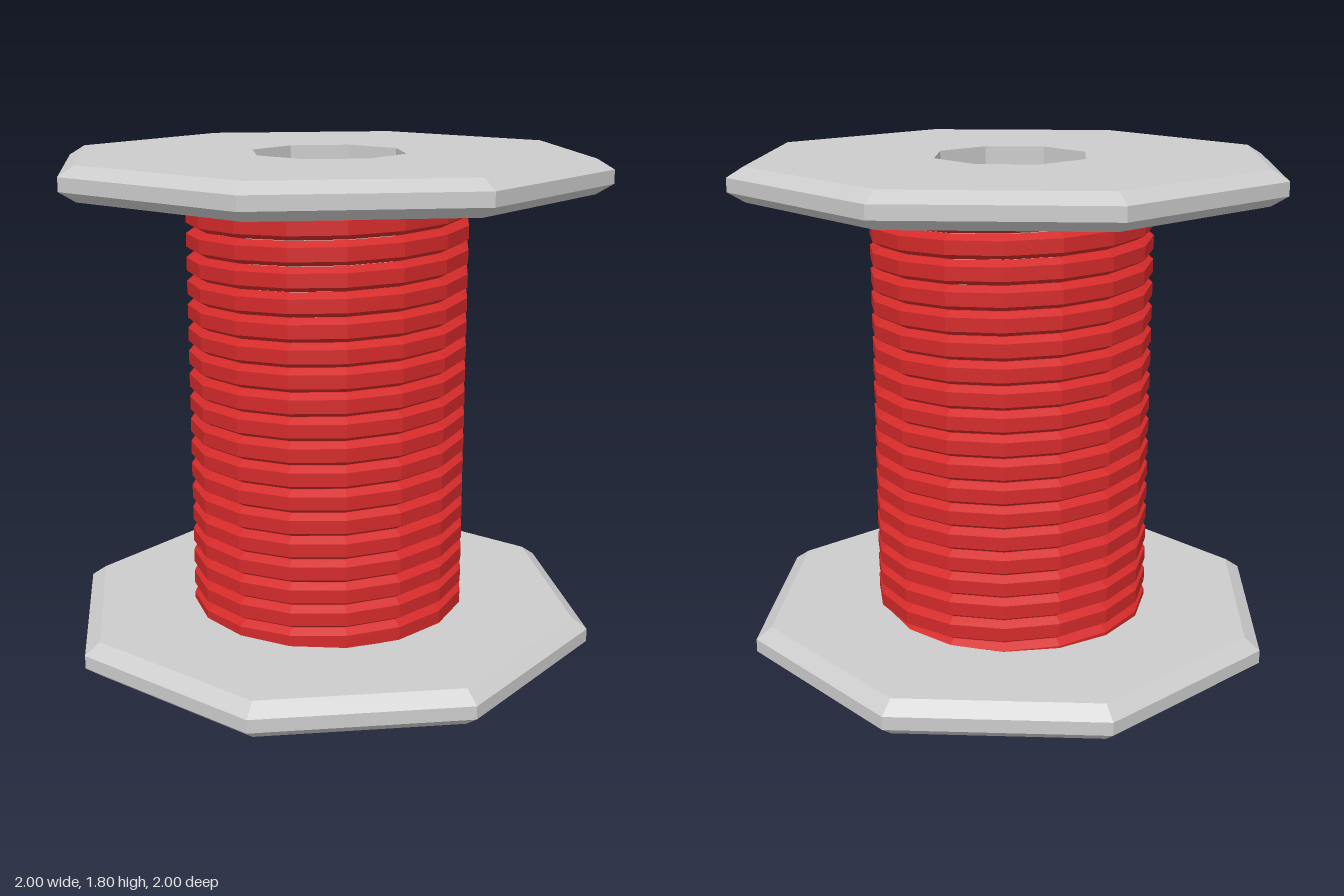
import * as THREE from 'three';

const SIDES = 16;      // facets per turn of wire
const PITCH = 0.0857;  // rise per turn

// Sweep a (radius, height) cross-section along a rising helix
function helixGeometry(profile, yStart, turns) {
  const pos = [], index = [], n = profile.length;
  const steps = Math.round(turns * SIDES);
  for (let i = 0; i <= steps; i++) {
    const a = (i / SIDES) * Math.PI * 2;
    const y = yStart + (i / SIDES) * PITCH;
    for (const [r, h] of profile) pos.push(r * Math.sin(a), y + h, r * Math.cos(a));
  }
  for (let i = 0; i < steps; i++) {
    for (let j = 0; j < n; j++) {
      const k = (j + 1) % n;
      const a = i * n + j, b = a + n, c = (i + 1) * n + k, d = i * n + k;
      index.push(a, b, c, a, c, d);
    }
  }
  const geo = new THREE.BufferGeometry();
  geo.setAttribute('position', new THREE.Float32BufferAttribute(pos, 3));
  geo.setIndex(index);
  geo.computeVertexNormals();
  return geo;
}

export function createModel() {
  const group = new THREE.Group();
  const grey = new THREE.MeshStandardMaterial({ color: 0xcccccc, flatShading: true });
  const red = new THREE.MeshStandardMaterial({ color: 0xd42a2a, flatShading: true });

  // Octagonal spool: two bevelled flanges, core and through hole in one closed profile
  const profile = [
    [0.283, 0], [0.93, 0], [0.987, 0.042], [0.987, 0.09], [0.93, 0.13],
    [0.44, 0.13], [0.44, 1.685],
    [0.94, 1.685], [1, 1.722], [1, 1.77], [0.94, 1.805], [0.283, 1.805], [0.283, 0],
  ].map(([r, y]) => new THREE.Vector2(r, y));
  const spool = new THREE.Mesh(new THREE.LatheGeometry(profile, 8), grey);
  spool.name = 'spool';
  group.add(spool);

  // Wound wire, its ends buried in the flanges
  const section = [
    [0.4, -0.028], [0.478, -0.042], [0.51, -0.024],
    [0.51, 0.024], [0.478, 0.042], [0.4, 0.028],
  ];
  const wire = new THREE.Mesh(helixGeometry(section, 0.06, 19.5), red);
  wire.name = 'woundWire';
  group.add(wire);

  return group;
}
